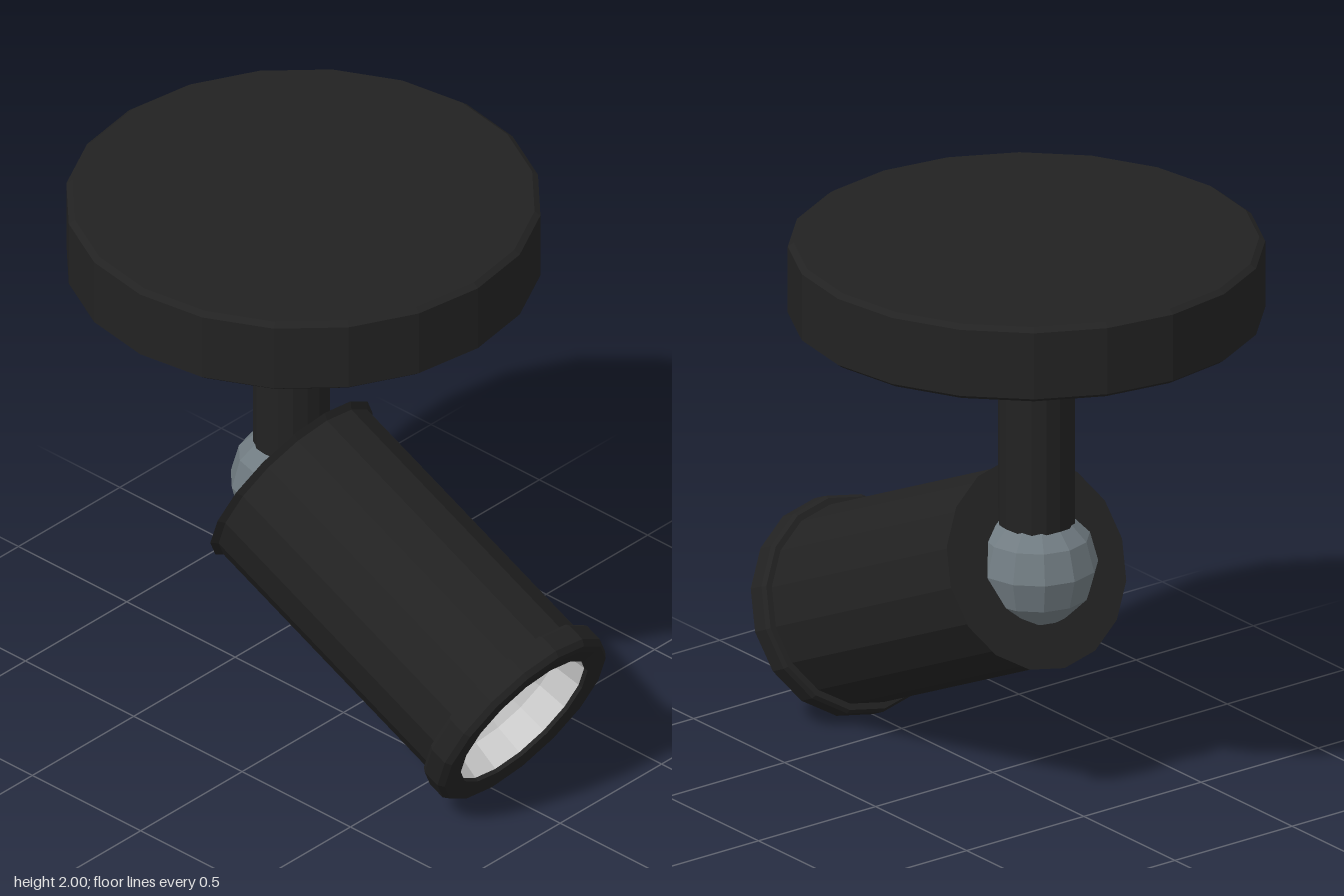
import * as THREE from 'three';

const flat = (name, color) => {
  const m = new THREE.MeshStandardMaterial({ color, flatShading: true });
  m.name = name;
  return m;
};

const black = flat('black metal', 0x222222);
const steel = flat('steel', 0x717c82);
const silver = flat('silver reflector', 0xd0d0d0);

// Turned part from [radius, height] pairs
function turned(name, profile, sides, material) {
  const points = profile.map(([r, y]) => new THREE.Vector2(r, y));
  const mesh = new THREE.Mesh(new THREE.LatheGeometry(points, sides), material);
  mesh.name = name;
  return mesh;
}

export function createModel() {
  const model = new THREE.Group();
  model.name = 'ceilingSpotlight';

  // Round mounting plate with bevelled rims
  const plate = turned('mountingPlate', [
    [0, 1.73], [0.785, 1.73], [0.805, 1.745], [0.805, 1.985], [0.785, 2], [0, 2],
  ], 20, black);
  plate.position.z = -0.185;

  // Stem and ball joint
  const stem = new THREE.Mesh(new THREE.CylinderGeometry(0.13, 0.13, 0.79, 16), black);
  stem.name = 'stem';
  stem.position.set(0, 1.345, -0.24);

  const ball = new THREE.Mesh(new THREE.SphereGeometry(0.21, 12, 6), steel);
  ball.name = 'ballJoint';
  ball.position.set(0, 0.84, -0.24);

  // Lamp head, tilted 25 degrees down towards the front
  const head = new THREE.Group();
  head.name = 'lampHead';
  head.position.set(0, 0.84, -0.24);
  head.rotation.x = THREE.MathUtils.degToRad(115);

  // Body with a thin back lip, front collar and opening
  head.add(turned('housing', [
    [0, 0], [0.365, 0], [0.345, 0.02], [0.345, 1.09], [0.367, 1.09], [0.377, 1.105],
    [0.377, 1.17], [0.362, 1.19], [0.335, 1.19], [0.285, 1.185], [0.283, 1.17],
  ], 16, black));

  // Hemispherical reflector bowl
  const bowl = [];
  for (let i = 0; i <= 4; i++) {
    const a = (i * Math.PI) / 8;
    bowl.push([i === 4 ? 0 : 0.283 * Math.cos(a), 1.17 - 0.283 * Math.sin(a)]);
  }
  head.add(turned('reflector', bowl, 16, silver));

  model.add(plate, stem, ball, head);
  return model;
}
